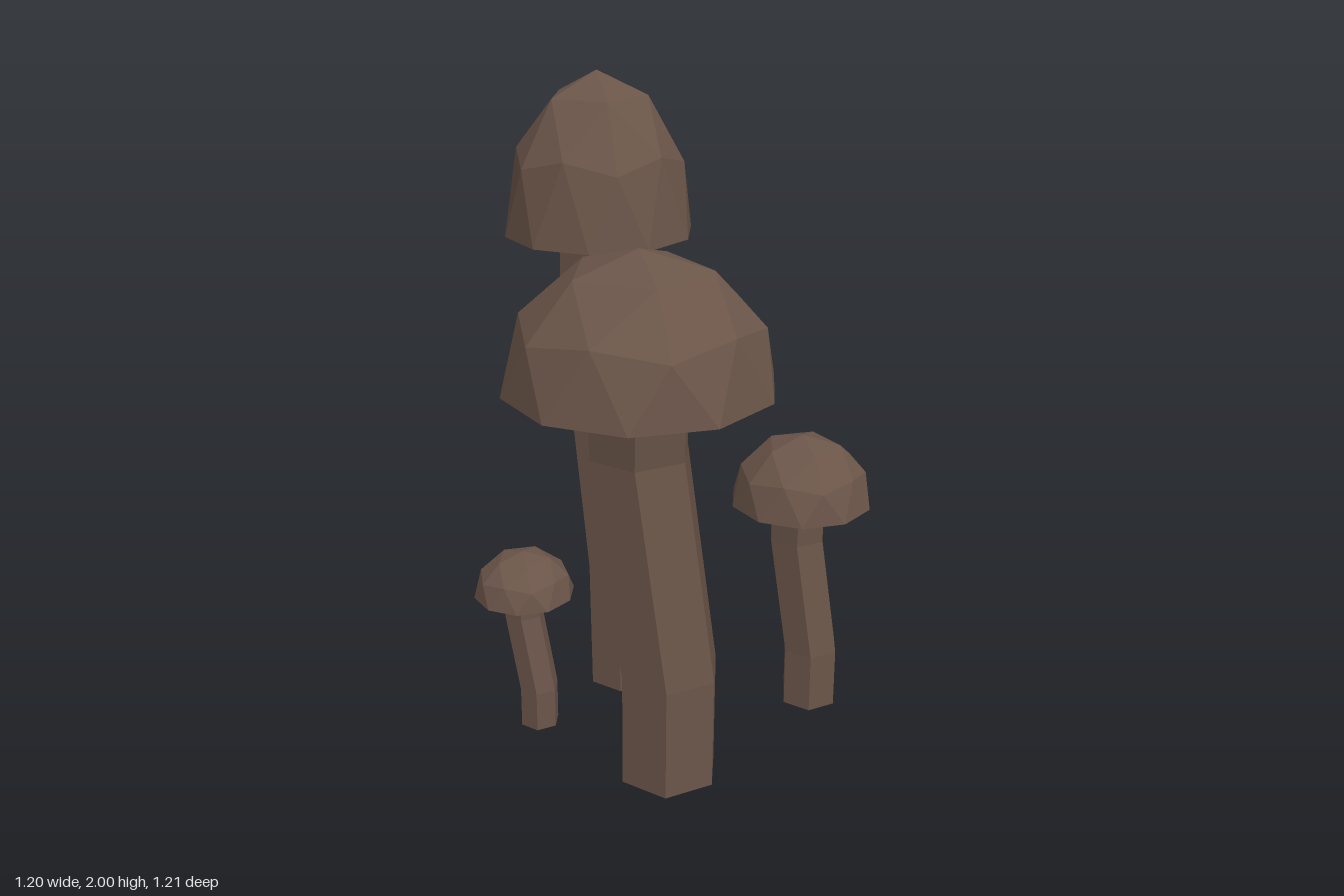
import * as THREE from 'three';

const brown = new THREE.MeshStandardMaterial({ color: 0x6b5549, flatShading: true, roughness: 1 });

// Faceted dome: upper half of a subdivided icosahedron standing on a vertex
function domeGeometry() {
  const ico = new THREE.IcosahedronGeometry(1, 1);
  ico.rotateX(-Math.atan((1 + Math.sqrt(5)) / 2));
  ico.rotateY(Math.PI / 2);
  const p = ico.attributes.position;
  const kept = [];
  for (let i = 0; i < p.count; i += 3) {
    if (p.getY(i) + p.getY(i + 1) + p.getY(i + 2) < 0.01) continue;
    for (let j = i; j < i + 3; j++) kept.push(p.getX(j), p.getY(j), p.getZ(j));
  }
  const geo = new THREE.BufferGeometry();
  geo.setAttribute('position', new THREE.Float32BufferAttribute(kept, 3));
  geo.computeVertexNormals();
  return geo;
}

// Six-sided stalk whose rows follow the given centres, bottom to top
function stemGeometry(radius, centres) {
  const rows = centres.length - 1;
  const geo = new THREE.CylinderGeometry(radius, radius, 1, 6, rows);
  const p = geo.attributes.position;
  for (let i = 0; i < p.count; i++) {
    const [x, y, z] = centres[Math.round((p.getY(i) + 0.5) * rows)];
    p.setXYZ(i, p.getX(i) + x, y, p.getZ(i) + z);
  }
  geo.computeVertexNormals();
  return geo;
}

function mesh(name, geo) {
  const m = new THREE.Mesh(geo, brown);
  m.name = name;
  return m;
}

function mushroom({ name, cap, stem, radius }) {
  const group = new THREE.Group();
  group.name = name;
  group.add(mesh('stem', stemGeometry(radius, stem)));

  const [x, y, z, r, h] = cap;
  const dome = mesh('cap', domeGeometry());
  const underside = mesh('capUnderside',
    new THREE.CircleGeometry(1, 10, Math.PI / 10).rotateX(Math.PI / 2));
  for (const part of [dome, underside]) {
    part.position.set(x, y, z);
    part.scale.set(r, h, r);
    group.add(part);
  }
  return group;
}

export function createModel() {
  const model = new THREE.Group();
  model.name = 'mushroomCluster';
  // cap: x, base y, z, radius, height; stem: centre of each row
  const mushrooms = [
    { name: 'tallMushroom', cap: [-0.235, 1.525, -0.322, 0.285, 0.475], radius: 0.113,
      stem: [[-0.18, 0, -0.32], [-0.183, 0.43, -0.322], [-0.258, 1.28, -0.35], [-0.25, 1.54, -0.333]] },
    { name: 'wideMushroom', cap: [-0.073, 1.23, 0.22, 0.385, 0.385], radius: 0.154,
      stem: [[0.005, 0, 0.222], [0.008, 0.35, 0.222], [-0.08, 1.02, 0.18], [-0.073, 1.25, 0.21]] },
    { name: 'mediumMushroom', cap: [0.39, 0.715, -0.2, 0.22, 0.215], radius: 0.092,
      stem: [[0.437, 0.01, -0.203], [0.437, 0.2, -0.205], [0.382, 0.58, -0.225], [0.385, 0.73, -0.215]] },
    { name: 'smallMushroom', cap: [-0.455, 0.46, -0.02, 0.155, 0.14], radius: 0.062,
      stem: [[-0.421, 0, -0.022], [-0.42, 0.13, -0.022], [-0.462, 0.38, -0.04], [-0.461, 0.47, -0.036]] },
  ];
  for (const m of mushrooms) model.add(mushroom(m));
  return model;
}
